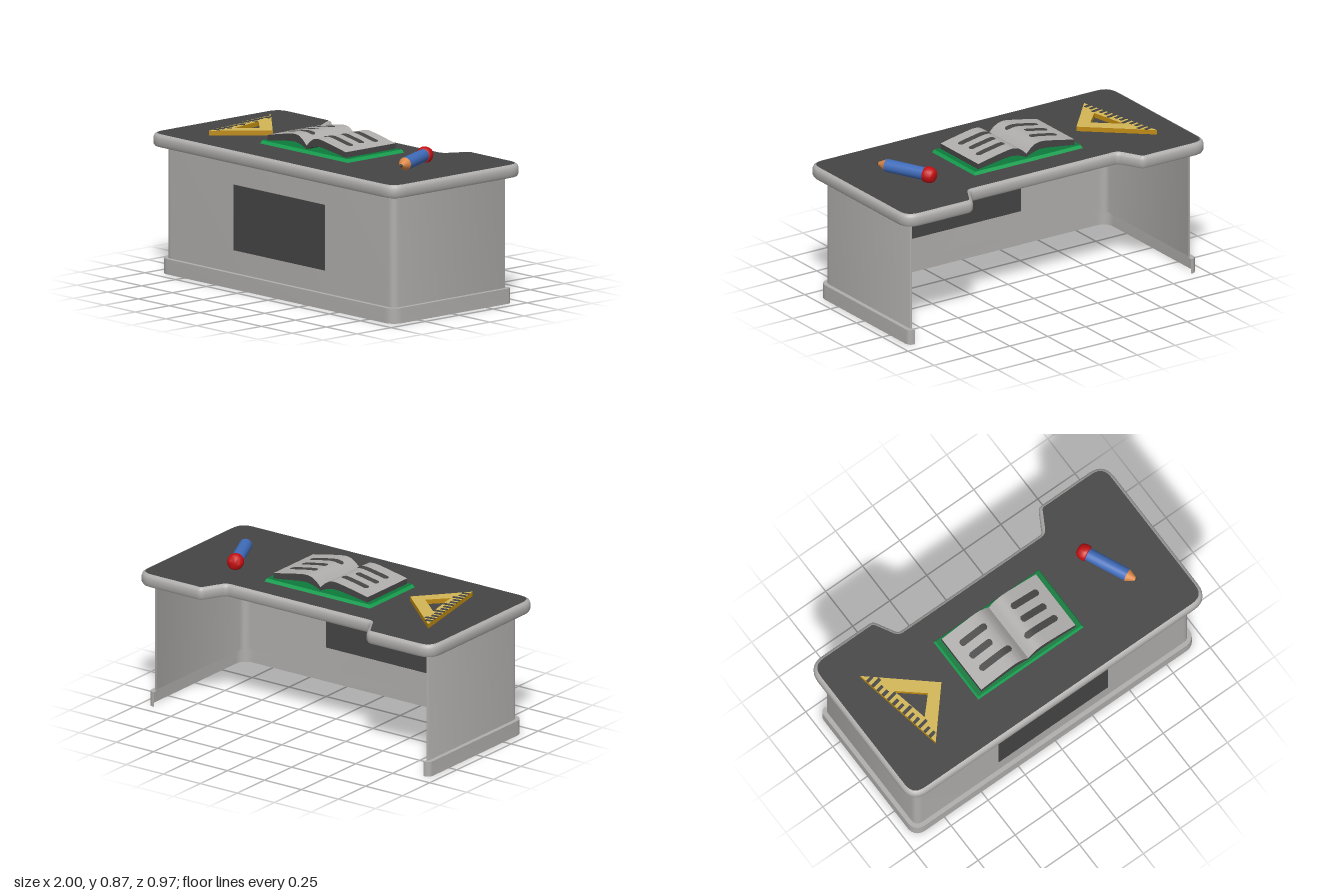
import * as THREE from 'three';
import { toCreasedNormals } from 'three/addons/utils/BufferGeometryUtils.js';

const paint = (name, color) => {
  const m = new THREE.MeshStandardMaterial({ color, side: THREE.DoubleSide });
  m.name = name;
  return m;
};

// Rounds the corners of a path of [x, z, radius]; ends of an open path stay put.
function roundPath(corners, closed) {
  const out = [], n = corners.length;
  corners.forEach(([x, z, r], i) => {
    if (!r || (!closed && (i === 0 || i === n - 1))) return out.push(new THREE.Vector2(x, z));
    const p = new THREE.Vector2(x, z);
    const toward = (c) => {
      const d = new THREE.Vector2(c[0], c[1]).sub(p);
      return p.clone().add(d.setLength(Math.min(r, d.length() / 2)));
    };
    const a = toward(corners[(i + n - 1) % n]), b = toward(corners[(i + 1) % n]);
    out.push(...new THREE.QuadraticBezierCurve(a, p, b).getPoints(7));
  });
  return out;
}

// Moves a path sideways by d (outward for paths running left, front, right, back).
function offset(path, d, closed) {
  const n = path.length;
  const normal = (i, j) => {
    const e = path[j].clone().sub(path[i]).normalize();
    return new THREE.Vector2(-e.y, e.x);
  };
  return path.map((p, i) => {
    const first = !closed && i === 0, last = !closed && i === n - 1;
    const a = first ? normal(0, 1) : normal((i + n - 1) % n, i);
    const b = last ? a : normal(i, (i + 1) % n);
    const m = a.clone().add(b).normalize();
    return p.clone().addScaledVector(m, d / Math.max(0.5, m.dot(a)));
  });
}

// Sweeps a profile of [offset, y] along a path.
function sweep(path, profile, closed) {
  const n = path.length, pos = [], index = [];
  for (const [d, y] of profile) offset(path, d, closed).forEach((p) => pos.push(p.x, y, p.y));
  for (let k = 0; k < profile.length - 1; k++) {
    for (let i = 0; i < (closed ? n : n - 1); i++) {
      const a = k * n + i, b = k * n + (i + 1) % n;
      index.push(a, b, b + n, a, b + n, a + n);
    }
  }
  const g = new THREE.BufferGeometry();
  g.setAttribute('position', new THREE.Float32BufferAttribute(pos, 3));
  g.setIndex(index);
  return toCreasedNormals(g, 0.7);
}

// Flat sheet filling a closed path at height y.
function sheet(path, y) {
  const s = new THREE.Shape(path.map((p) => new THREE.Vector2(p.x, -p.y)));
  return new THREE.ShapeGeometry(s).rotateX(-Math.PI / 2).translate(0, y, 0);
}

export function createModel() {
  const grey = paint('light grey', 0xb0aeac), dark = paint('charcoal', 0x454545);
  const green = paint('dark green', 0x0d7a3c), edgeGreen = paint('bright green', 0x18a653);
  const gold = paint('gold', 0xbd8a12), paleGold = paint('pale gold', 0xd2b656);
  const blue = paint('blue', 0x3f6cba), red = paint('red', 0xc51012), wood = paint('wood', 0xdd8846);

  const model = new THREE.Group();
  model.name = 'desk';
  const add = (name, geometry, material, parent = model) => {
    const m = new THREE.Mesh(geometry, material);
    m.name = name;
    parent.add(m);
    return m;
  };

  // Desk top: rounded rim around a dark writing surface, notched at the back
  const top = roundPath([
    [-1, -0.485, 0.1], [-1, 0.485, 0.1], [1, 0.485, 0.1], [1, -0.485, 0.1],
    [0.56, -0.485, 0.025], [0.485, -0.35, 0.02], [-0.485, -0.35, 0.02], [-0.56, -0.485, 0.025],
  ], true);
  add('topRim', sweep(top, [[-0.025, 0.705], [-0.008, 0.71], [0, 0.724], [0, 0.758],
    [-0.006, 0.772], [-0.02, 0.78]], true), grey);
  add('writingSurface', sheet(offset(top, -0.02, true), 0.779), dark);

  // Three-sided body with a stepped skirting, open at the back
  const wall = roundPath([[-0.912, -0.41, 0], [-0.925, -0.41, 0.008], [-0.925, 0.415, 0.045],
    [0.925, 0.415, 0.045], [0.925, -0.41, 0.008], [0.912, -0.41, 0]], false);
  add('bodyWall', sweep(wall, [[0, 0.776], [0, 0.085]], false), grey);
  add('skirting', sweep(wall, [[0, 0.085], [0.025, 0.085], [0.025, 0]], false), grey);
  add('frontPanel', new THREE.BoxGeometry(0.735, 0.365, 0.008).translate(0, 0.393, 0.415), dark);

  // Open book on a green cover
  const book = new THREE.Group();
  book.name = 'book';
  model.add(book);
  const cover = roundPath([[-0.37, -0.19], [-0.37, 0.23], [0.35, 0.23], [0.35, -0.19]], true);
  add('coverEdge', sweep(cover, [[0, 0.772], [-0.012, 0.797]], true), edgeGreen, book);
  add('coverTop', sheet(offset(cover, -0.012, true), 0.797), green, book);

  // Page curve, mirrored about the spine; u is the distance from the spine
  const spine = -0.0125;
  const lerpTable = (t) => (u) => {
    let i = 0;
    while (i < t.length - 2 && u > t[i + 1][0]) i++;
    return THREE.MathUtils.mapLinear(u, t[i][0], t[i + 1][0], t[i][1], t[i + 1][1]);
  };
  const upper = lerpTable([[0, 0.818], [0.03, 0.846], [0.06, 0.864], [0.09, 0.869], [0.12, 0.867],
    [0.2, 0.853], [0.318, 0.829]]);
  const lower = lerpTable([[0, 0.798], [0.04, 0.815], [0.09, 0.826], [0.14, 0.823], [0.318, 0.798]]);
  const block = new THREE.Shape();
  const N = 44;
  for (let i = 0; i <= N; i++) {
    const x = -0.318 + 0.636 * i / N;
    block[i ? 'lineTo' : 'moveTo'](x, lower(Math.abs(x)));
  }
  for (let i = N; i >= 0; i--) {
    const x = -0.318 + 0.636 * i / N;
    block.lineTo(x, upper(Math.abs(x)) - 0.001);
  }
  add('pageBlock', new THREE.ExtrudeGeometry(block, { depth: 0.365, bevelEnabled: false })
    .translate(spine, 0, -0.16), dark, book);

  // Drapes a flat shape over the pages
  const drape = (g, lift) => {
    const p = g.attributes.position;
    for (let i = 0; i < p.count; i++) p.setY(i, upper(Math.abs(p.getX(i) - spine)) + lift);
    g.computeVertexNormals();
    return g;
  };
  for (const s of [-1, 1]) {
    add('page', drape(new THREE.PlaneGeometry(0.318, 0.365, 22, 1).rotateX(-Math.PI / 2)
      .translate(spine + s * 0.159, 0, 0.0225), 0), grey, book);
  }
  for (const [x0, x1, z] of [[-0.27, -0.095, -0.07], [-0.27, -0.125, 0.02], [-0.27, -0.06, 0.11],
    [0.075, 0.255, -0.07], [0.075, 0.24, 0.02], [0.035, 0.25, 0.11]]) {
    const g = new THREE.PlaneGeometry(x1 - x0, 0.04, 16, 2).rotateX(-Math.PI / 2);
    const p = g.attributes.position;
    for (let i = 0; i < p.count; i++) {
      // Narrow the ends of each line
      if (Math.abs(p.getX(i)) > (x1 - x0) / 2 - 0.004) p.setZ(i, p.getZ(i) * 0.45);
    }
    add('textLine', drape(g.translate((x0 + x1) / 2, 0, z), 0.003), dark, book);
  }

  // Set square with tick marks along its long edge
  const square = new THREE.Group();
  square.name = 'setSquare';
  model.add(square);
  const tri = (pts, Type) => new Type(pts.map(([x, z]) => new THREE.Vector2(x, -z)));
  const plate = tri([[-0.81, -0.255], [-0.705, 0.297], [-0.475, 0.035]], THREE.Shape);
  plate.holes.push(tri([[-0.712, -0.075], [-0.572, 0.043], [-0.668, 0.144]], THREE.Path));
  add('setSquarePlate', new THREE.ExtrudeGeometry(plate, { depth: 0.026, bevelEnabled: false })
    .rotateX(-Math.PI / 2).translate(0, 0.781, 0), [paleGold, gold], square);
  const edge = new THREE.Vector2(0.105, 0.552).normalize();
  for (let i = 0; i < 13; i++) {
    const t = 0.09 + i * 0.069, len = i % 3 === 1 ? 0.06 : 0.04;
    const tick = add('tick', new THREE.BoxGeometry(len, 0.004, 0.018).translate(len / 2, 0, 0), dark, square);
    tick.position.set(-0.81 + 0.105 * t, 0.808, -0.255 + 0.552 * t);
    tick.rotation.y = Math.atan2(edge.x, edge.y);
  }

  // Pencil lying on the desk, tip toward the front
  const pencil = new THREE.Group();
  pencil.name = 'pencil';
  pencil.position.set(0.648, 0.816, 0);
  pencil.quaternion.setFromUnitVectors(new THREE.Vector3(0, 1, 0), new THREE.Vector3(0.41, 0, 0.912).normalize());
  model.add(pencil);
  const turn = (name, pts, mat) => add(name, toCreasedNormals(
    new THREE.LatheGeometry(pts.map(([r, y]) => new THREE.Vector2(r, y)), 16), 0.7), mat, pencil);
  turn('eraser', [[0, -0.162], [0.026, -0.16], [0.039, -0.15], [0.046, -0.13], [0.046, -0.108],
    [0.042, -0.1], [0.036, -0.098]], red);
  turn('barrel', [[0.036, -0.1], [0.036, 0.147]], blue);
  turn('sharpenedWood', [[0.036, 0.147], [0.01, 0.197]], wood);
  turn('lead', [[0.01, 0.197], [0.005, 0.206], [0, 0.208]], dark);

  return model;
}
